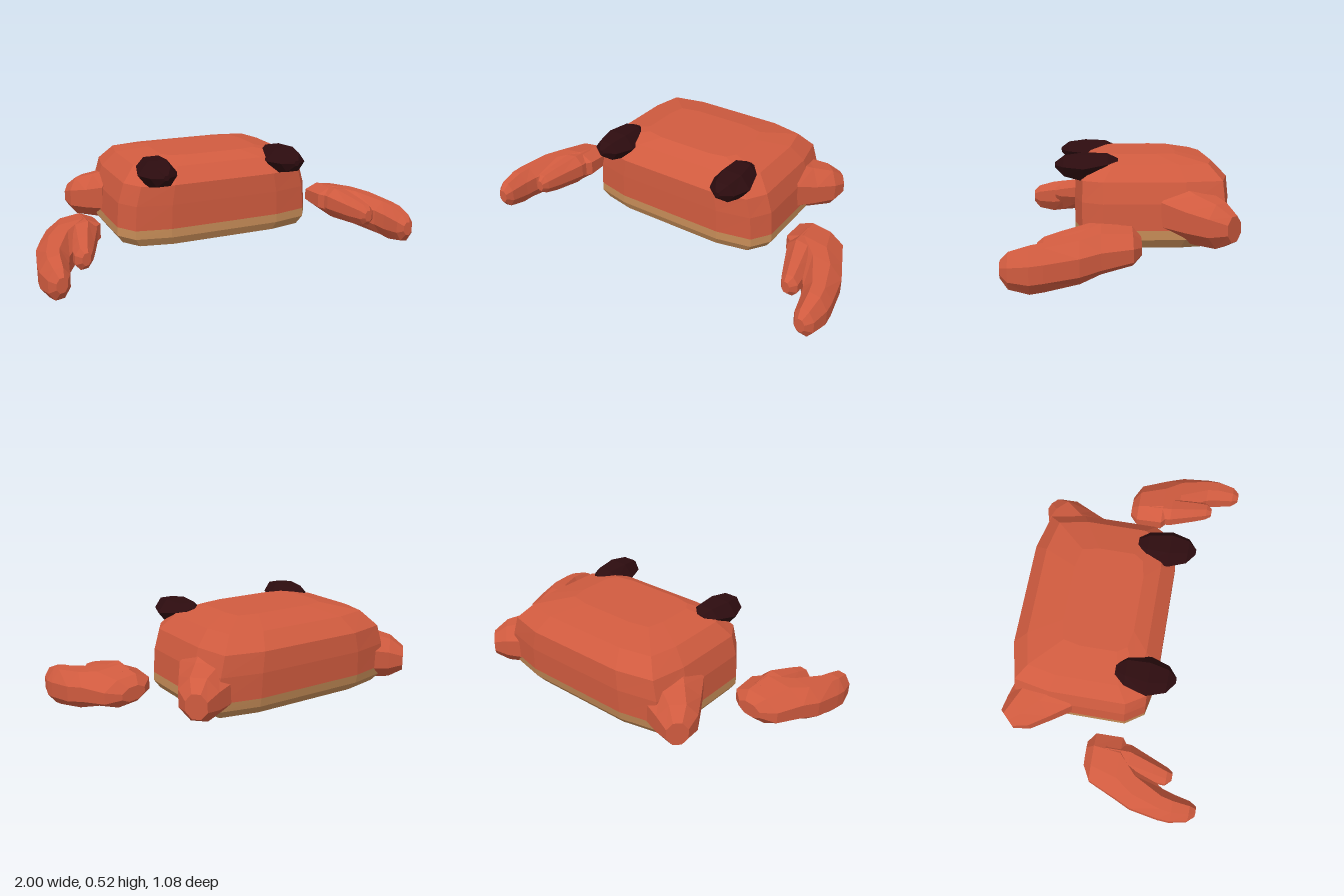
import * as THREE from 'three';

const V = (x, y, z) => new THREE.Vector3(x, y, z);

// Faceted skin over a list of rings, with a fan closing the chosen ends.
function loft(rings, capStart = true, capEnd = true) {
  const tris = [];
  const n = rings[0].length;
  for (let i = 0; i < rings.length - 1; i++) {
    for (let j = 0; j < n; j++) {
      const k = (j + 1) % n;
      const a = rings[i][j], b = rings[i][k], c = rings[i + 1][k], d = rings[i + 1][j];
      tris.push([a, b, c], [a, c, d]);
    }
  }
  const cap = (ring, flip) => {
    for (let j = 1; j < n - 1; j++) {
      tris.push(flip ? [ring[0], ring[j + 1], ring[j]] : [ring[0], ring[j], ring[j + 1]]);
    }
  };
  if (capStart) cap(rings[0], true);
  if (capEnd) cap(rings[rings.length - 1], false);

  // Turn the faces outward whichever way the rings run.
  const mid = V(0, 0, 0);
  rings.flat().forEach((p) => mid.add(p));
  mid.divideScalar(rings.length * n);
  let volume = 0;
  for (const [a, b, c] of tris) {
    volume += a.clone().sub(mid).dot(b.clone().sub(mid).cross(c.clone().sub(mid)));
  }
  const pts = tris.flatMap(([a, b, c]) => (volume < 0 ? [a, c, b] : [a, b, c]));
  const geo = new THREE.BufferGeometry().setFromPoints(pts);
  geo.computeVertexNormals();
  return geo;
}

// Rings facing z; each row is [x, y, z, halfWidth, halfHeight].
function zRings(rows, side, sides, tilt = 0) {
  const turn = sides === 8 ? Math.PI / 8 : 0;
  const grow = sides === 8 ? 1 / Math.cos(turn) : 1;
  return rows.map(([x, y, z, rx, ry]) => Array.from({ length: sides }, (_, i) => {
    const a = turn + (i / sides) * Math.PI * 2;
    const dx = Math.cos(a) * rx * grow;
    return V(side * (x + dx), y + Math.sin(a) * ry * grow - tilt * dx, z);
  }));
}

// Rings facing diagonally out and back; each row is [x, y, z, halfWidth, halfHeight].
function legRings(rows, side) {
  return rows.map(([x, y, z, r, h]) => Array.from({ length: 8 }, (_, i) => {
    const a = Math.PI / 8 + (i / 8) * Math.PI * 2;
    const d = Math.cos(a) * r * 1.08 * Math.SQRT1_2;
    return V(side * (x + d), y + Math.sin(a) * h * 1.08, z + d);
  }));
}

// Level outline of the shell with cut corners.
function shellRing([y, w, front, back]) {
  const len = front - back;
  const half = [
    [0.55 * w, front], [0.88 * w, front - 0.05 * len], [w, front - 0.18 * len],
    [w, back + 0.3 * len], [0.93 * w, back + 0.06 * len], [0.55 * w, back],
  ];
  const mirrored = half.map(([x, z]) => [-x, z]).reverse();
  return [...half, ...mirrored].map(([x, z]) => V(x, y, z));
}

export function createModel() {
  const red = new THREE.MeshStandardMaterial({ color: 0xd05b3f });
  red.name = 'shell red';
  const tan = new THREE.MeshStandardMaterial({ color: 0xc68c57 });
  tan.name = 'belly tan';
  const dark = new THREE.MeshStandardMaterial({ color: 0x2d0c0f });
  dark.name = 'eye dark';

  const model = new THREE.Group();
  model.name = 'crab';
  const add = (name, geo, mat, parent = model) => {
    const mesh = new THREE.Mesh(geo, mat);
    mesh.name = name;
    parent.add(mesh);
  };

  // Shell and belly: [y, halfWidth, front z, back z]
  const rim = [0.175, 0.54, 0.245, -0.515];
  add('shell', loft([
    rim, [0.3, 0.53, 0.245, -0.52], [0.4, 0.5, 0.243, -0.512],
    [0.475, 0.43, 0.17, -0.44], [0.51, 0.27, 0.09, -0.27],
  ].map(shellRing), false, true), red);
  add('belly', loft([
    [0.087, 0.51, 0.225, -0.47], [0.13, 0.54, 0.245, -0.505], rim,
  ].map(shellRing), true, false), tan);

  const claw = [
    [0.735, 0.15, -0.06, 0.06, 0.035], [0.75, 0.155, -0.02, 0.12, 0.07],
    [0.78, 0.15, 0.12, 0.15, 0.09], [0.86, 0.128, 0.21, 0.11, 0.095],
    [0.92, 0.105, 0.36, 0.075, 0.095], [0.93, 0.097, 0.42, 0.068, 0.095],
    [0.93, 0.095, 0.51, 0.05, 0.073], [0.925, 0.1, 0.545, 0.025, 0.035],
  ];
  const finger = [
    [0.74, 0.16, 0.04, 0.09, 0.075], [0.735, 0.16, 0.17, 0.075, 0.085],
    [0.765, 0.147, 0.3, 0.055, 0.07], [0.78, 0.143, 0.37, 0.043, 0.055],
    [0.775, 0.145, 0.4, 0.02, 0.03],
  ];
  const leg = [
    [0.4, 0.25, -0.3, 0.19, 0.14], [0.5, 0.225, -0.37, 0.14, 0.12],
    [0.59, 0.208, -0.44, 0.097, 0.104], [0.635, 0.2, -0.495, 0.052, 0.06],
  ];
  const eye = [
    [0.355, 0.468, 0.338, 0.015, 0.015], [0.355, 0.463, 0.295, 0.07, 0.055],
    [0.353, 0.457, 0.2, 0.102, 0.075], [0.345, 0.475, 0.085, 0.08, 0.05],
    [0.35, 0.488, 0.033, 0.03, 0.01],
  ];

  // Paired limbs and eyes
  for (const [word, side] of [['left', 1], ['right', -1]]) {
    const clawGroup = new THREE.Group();
    clawGroup.name = `${word}Claw`;
    model.add(clawGroup);
    add(`${word}ClawOuter`, loft(zRings(claw, side, 8, 0.15)), red, clawGroup);
    add(`${word}ClawInner`, loft(zRings(finger, side, 8, 0.15)), red, clawGroup);
    add(`${word}BackLeg`, loft(legRings(leg, side)), red);
    add(`${word}Eye`, loft(zRings(eye, side, 6)), dark);
  }
  return model;
}
